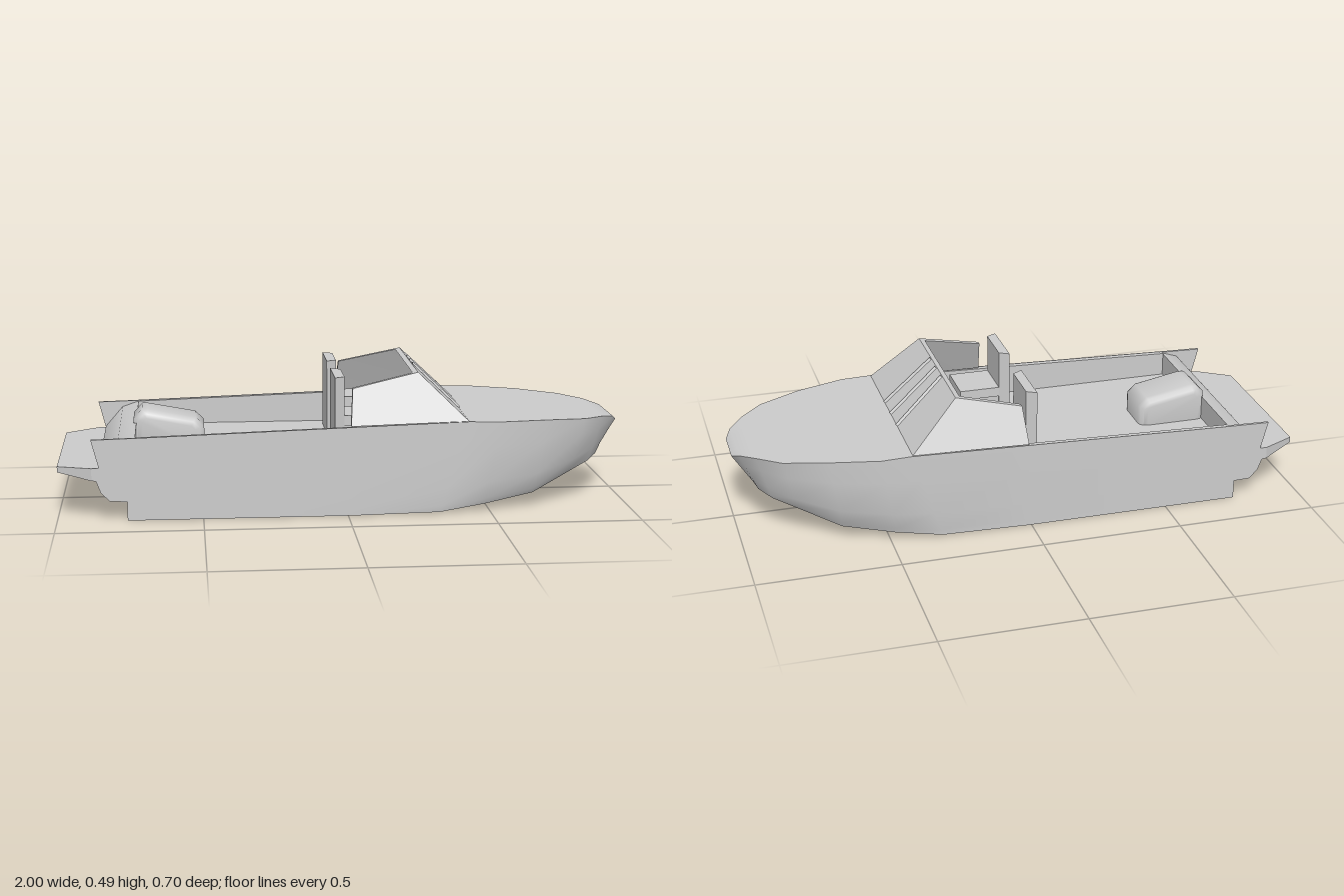
import * as THREE from 'three';
import { toCreasedNormals } from 'three/addons/utils/BufferGeometryUtils.js';

const material = new THREE.MeshStandardMaterial({ color: 0xcccccc, side: THREE.DoubleSide });
const lerp = THREE.MathUtils.lerp;

function part(parent, name, geometry, crease = 0.7) {
  const mesh = new THREE.Mesh(toCreasedNormals(geometry, crease), material);
  mesh.name = name;
  parent.add(mesh);
  return mesh;
}

// Surface through rows of points, all rows having the same length
function loft(rows) {
  const n = rows[0].length, index = [];
  for (let i = 0; i < rows.length - 1; i++) {
    for (let j = 0; j < n - 1; j++) {
      const a = i * n + j, b = a + n;
      index.push(a, a + 1, b, a + 1, b + 1, b);
    }
  }
  const g = new THREE.BufferGeometry();
  g.setAttribute('position', new THREE.Float32BufferAttribute(rows.flat(2), 3));
  g.setIndex(index);
  return g;
}

// Side profile (x, y) extruded between two z values
function sideExtrude(points, z0, z1, bevel = 0) {
  const shape = new THREE.Shape(points.map(p => new THREE.Vector2(...p)));
  const g = new THREE.ExtrudeGeometry(shape, {
    depth: z1 - z0 - 2 * bevel, bevelEnabled: bevel > 0,
    bevelSize: bevel, bevelThickness: bevel, bevelOffset: -bevel, bevelSegments: 3,
  });
  return g.translate(0, 0, z0 + bevel);
}

function box(x0, x1, y0, y1, z0, z1) {
  return new THREE.BoxGeometry(x1 - x0, y1 - y0, z1 - z0)
    .translate((x0 + x1) / 2, (y0 + y1) / 2, (z0 + z1) / 2);
}

const mirrored = half => [...half, ...half.slice(0, -1).reverse().map(([x, y, z]) => [x, y, -z])];

export function createModel() {
  const boat = new THREE.Group();
  boat.name = 'motorboat';

  // Stations: gunwale x, y, half-width; bottom x, y, half-width
  const stations = [
    [-0.76, 0.287, 0.35, -0.76, 0, 0.35],
    [-0.3, 0.302, 0.35, -0.3, 0, 0.35],
    [0.01, 0.312, 0.35, 0.01, 0, 0.35],
    [0.42, 0.325, 0.35, 0.32, 0.005, 0.345],
    [0.53, 0.322, 0.35, 0.48, 0.025, 0.32],
    [0.7, 0.317, 0.305, 0.66, 0.05, 0.27],
    [0.85, 0.307, 0.245, 0.8, 0.105, 0.2],
    [0.93, 0.3, 0.17, 0.88, 0.136, 0.16],
    [0.98, 0.288, 0.11, 0.92, 0.152, 0.11],
    [1, 0.27, 0.07, 0.93, 0.16, 0.07],
  ];

  // Hull shell, closed by a flat stem at the bow
  const section = ([xt, yt, wt, xb, yb, wb]) => mirrored(
    [[1, 1], [0.7, 1], [0.28, 0.85], [0.07, 0.3], [0, 0]].map(([v, s]) =>
      [lerp(xb, xt, v), lerp(yb, yt, v), lerp(wb, wt, s)]).concat([[xb, yb, 0]]));
  const hullRows = stations.map(section);
  hullRows.push(hullRows.at(-1).map(([x, y]) => [x, y, 0]));
  part(boat, 'hull', loft(hullRows), 0.8);

  // Foredeck
  const deckRows = stations.slice(3).map(([x, y, w]) =>
    mirrored([[x, y, w], [x, y, w * 0.5], [x, y, 0]]));
  part(boat, 'foredeck', loft(deckRows));

  // Gunwales, cockpit walls and floor
  const floor = 0.2;
  const well = [-0.73, -0.3, 0.01, 0.42].map(x => {
    const y = 0.31 + x * 0.032;
    return mirrored([[x, y, 0.35], [x, y, 0.33], [x, floor, 0.33], [x, floor, 0]]);
  });
  part(boat, 'cockpitLiner', loft(well), 0.5);
  part(boat, 'forwardBulkhead', box(0.41, 0.42, floor, 0.32, -0.33, 0.33));

  // Stern: raked block with a sloping aft deck
  part(boat, 'sternBlock', sideExtrude([
    [-0.73, 0.065], [-0.82, 0.068], [-0.85, 0.1], [-0.865, 0.14],
    [-0.855, 0.19], [-0.79, 0.265], [-0.73, 0.285],
  ], -0.348, 0.348), 0.6);
  part(boat, 'transom', box(-0.76, -0.75, 0, 0.2, -0.35, 0.35));
  for (const s of [-1, 1]) {
    part(boat, s > 0 ? 'leftSternFin' : 'rightSternFin', sideExtrude(
      [[-0.72, 0.19], [-0.853, 0.18], [-0.88, 0.284], [-0.72, 0.288]],
      s * 0.345 - 0.005, s * 0.345 + 0.005));
  }

  // Swim platform, tapering in plan and in thickness
  const platformRows = [[-0.82, 0.35, 0.135, 0.186], [-0.88, 0.35, 0.142, 0.185], [-1, 0.285, 0.16, 0.18]]
    .map(([x, w, lo, hi]) => [[x, lo, w], [x, hi, w], [x, hi, -w], [x, lo, -w], [x, lo, w]]);
  platformRows.push(platformRows.at(-1).map(([x, , z]) => [x, 0.17, z]));
  part(boat, 'swimPlatform', loft(platformRows), 0.4);

  // Engine cover
  part(boat, 'engineCover', sideExtrude([
    [-0.74, floor - 0.03], [-0.74, 0.3], [-0.71, 0.332], [-0.69, 0.332], [-0.52, 0.3], [-0.49, 0.27], [-0.49, floor - 0.03],
  ], -0.09, 0.085, 0.03), 0.9);

  // Wraparound windshield: thin wall along the foot and the top rim
  const wall = (aft, front) => [
    [aft[0], aft[1], aft[2]], [front[0], front[1], front[2]],
    [front[0], front[1], -front[2]], [aft[0], aft[1], -aft[2]],
  ];
  const shield = [
    wall([0.01, 0.315, 0.33], [0.4, 0.322, 0.33]),
    wall([0.01, 0.315, 0.35], [0.42, 0.325, 0.345]),
    wall([0.02, 0.437, 0.293], [0.25, 0.487, 0.27]),
    wall([0.02, 0.437, 0.275], [0.232, 0.483, 0.252]),
    wall([0.01, 0.315, 0.33], [0.4, 0.322, 0.33]),
  ];
  const windshield = new THREE.Group();
  windshield.name = 'windshield';
  boat.add(windshield);
  part(windshield, 'windshieldPanes', loft(shield), 0.3);
  for (const i of [-1, 1]) {
    const z = i * 0.325;
    part(windshield, 'aftPost', loft([
      [[0.01, 0.315, z + i * 0.025], [0.01, 0.315, z + i * 0.005]],
      [[0.02, 0.437, i * 0.293], [0.02, 0.437, i * 0.275]],
    ]));
  }
  // Mullions fan slightly outwards toward the deck
  for (const i of [-1, 0, 1]) {
    const zb = i * 0.1, zt = i * 0.08;
    part(windshield, 'mullion', loft([[0.42, 0.326, zb], [0.252, 0.486, zt]].map(([x, y, z]) =>
      [[x, y, z - 0.008], [x + 0.005, y + 0.005, z], [x, y, z + 0.008]])), 0.2);
  }

  // Two seats with flared backrests
  for (const s of [-1, 1]) {
    const seat = new THREE.Group();
    seat.name = s > 0 ? 'leftSeat' : 'rightSeat';
    seat.position.z = s * 0.175;
    boat.add(seat);
    part(seat, 'seatBase', box(-0.01, 0.14, floor, 0.3, -0.075, 0.075));
    part(seat, 'seatCushion', box(-0.01, 0.14, 0.3, 0.335, -0.08, 0.08));
    const backRows = [floor, 0.472].map(y => [
      [-0.04, y, -0.1], [-0.005, y, -0.08], [-0.005, y, 0.08], [-0.04, y, 0.1], [-0.04, y, -0.1],
    ]);
    const rim = backRows[1].map(([, y]) => [-0.022, y, 0]);
    part(seat, 'backrest', loft([...backRows, rim]), 0.2);
  }

  // Helm at the right-hand seat's side of the cockpit
  part(boat, 'steeringColumn', box(0.225, 0.4, 0.285, 0.305, -0.19, -0.17));
  part(boat, 'steeringWheel', box(0.215, 0.23, 0.24, 0.36, -0.24, -0.12));

  return boat;
}
